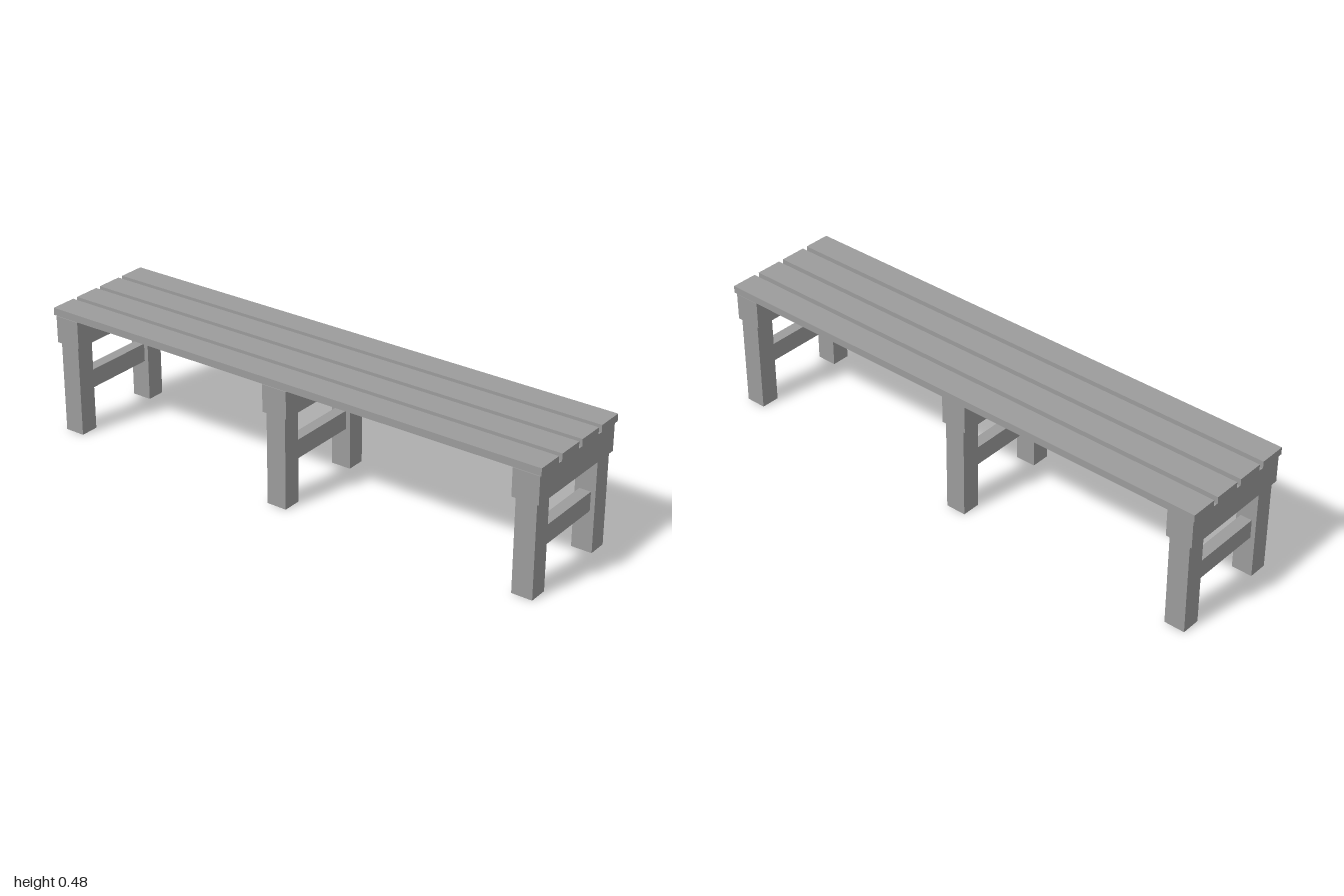
import * as THREE from 'three';

const material = new THREE.MeshStandardMaterial({ color: 0x9c9c9c, flatShading: true });

// Box given by its size, bottom height and centre in x and z
function addBox(parent, name, [w, h, d], x, bottom, z) {
  const mesh = new THREE.Mesh(new THREE.BoxGeometry(w, h, d), material);
  mesh.name = name;
  mesh.position.set(x, bottom + h / 2, z);
  parent.add(mesh);
}

// Trestle: two legs, a stretcher between them and a crossbeam on top
function createTrestle(name, x) {
  const trestle = new THREE.Group();
  trestle.name = name;
  trestle.position.x = x;
  addBox(trestle, 'frontLeg', [0.077, 0.345, 0.071], 0, 0, 0.181);
  addBox(trestle, 'backLeg', [0.077, 0.345, 0.071], 0, 0, -0.184);
  addBox(trestle, 'stretcher', [0.043, 0.07, 0.294], 0, 0.151, -0.0015);
  addBox(trestle, 'crossbeam', [0.098, 0.101, 0.45], 0, 0.345, 0);
  return trestle;
}

export function createModel() {
  const bench = new THREE.Group();
  bench.name = 'bench';

  // Seat slats
  for (let i = 0; i < 4; i++) {
    addBox(bench, `seatSlat${i + 1}`, [2, 0.027, 0.1], 0, 0.451, 0.18 - i * 0.12);
  }

  // Supports at both ends and near the middle
  bench.add(
    createTrestle('rightTrestle', -0.945),
    createTrestle('middleTrestle', -0.025),
    createTrestle('leftTrestle', 0.944)
  );
  return bench;
}
